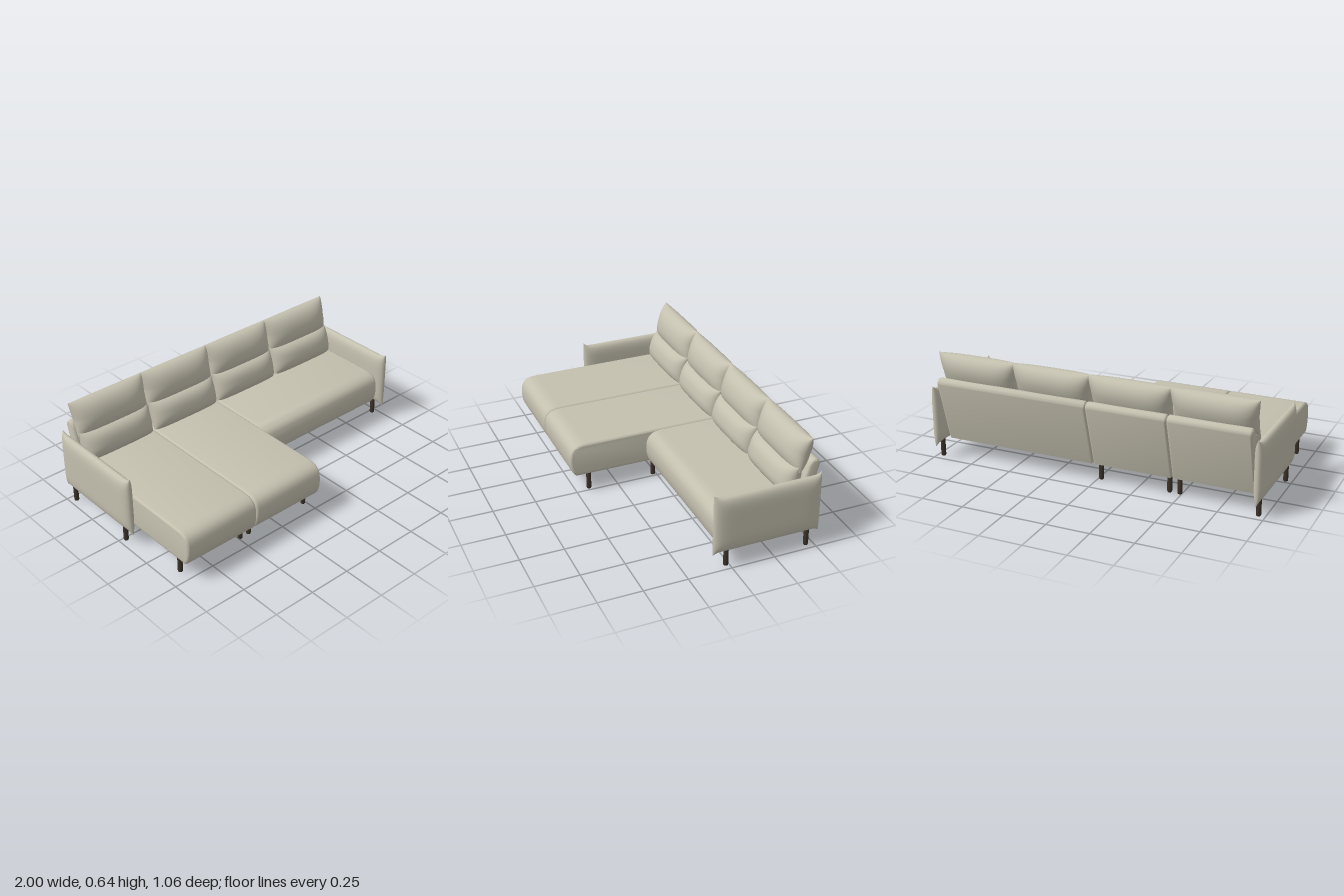
import * as THREE from 'three';
import { mergeVertices, toCreasedNormals } from 'three/addons/utils/BufferGeometryUtils.js';

const fabric = new THREE.MeshStandardMaterial({ color: 0xc4c0af });
fabric.name = 'warm grey fabric';
const wood = new THREE.MeshStandardMaterial({ color: 0x3b3128 });
wood.name = 'dark wood';

// Stuffed pillow in the XY plane: two bulging sheets that meet in a seam.
// pu, pv set how boxy the bulge is; warp(u, v) moves the outline.
function pillow(w, h, t, pu, pv, warp) {
  const n = 32, pos = [], index = [];
  for (const side of [1, -1]) {
    const base = pos.length / 3;
    for (let j = 0; j <= n; j++) {
      for (let i = 0; i <= n; i++) {
        const u = Math.sin((i / n - 0.5) * Math.PI);
        const v = Math.sin((j / n - 0.5) * Math.PI);
        const bulge = Math.sqrt(Math.max(0, (1 - Math.abs(u) ** pu) * (1 - Math.abs(v) ** pv)));
        const [dx, dy] = warp(u, v);
        pos.push(u * w + dx, v * h + dy, side * t * bulge);
      }
    }
    for (let j = 0; j < n; j++) {
      for (let i = 0; i < n; i++) {
        const a = base + j * (n + 1) + i, b = a + 1, c = a + n + 1, d = c + 1;
        if (side > 0) index.push(a, b, d, a, d, c);
        else index.push(a, d, b, a, c, d);
      }
    }
  }
  const g = new THREE.BufferGeometry();
  g.setAttribute('position', new THREE.Float32BufferAttribute(pos, 3));
  g.setIndex(index);
  const merged = mergeVertices(g, 1e-5);
  merged.computeVertexNormals();
  return merged;
}

// Seat and leaning back in one side profile, extruded along x with soft edges.
function moduleGeometry(width, front) {
  const s = new THREE.Shape();
  s.moveTo(-0.43, 0.11);
  s.lineTo(front - 0.04, 0.11);
  s.bezierCurveTo(front - 0.015, 0.115, front, 0.16, front, 0.21);
  s.bezierCurveTo(front, 0.275, front - 0.02, 0.31, front - 0.1, 0.31);
  s.lineTo(-0.42, 0.31);
  s.lineTo(-0.463, 0.465);
  s.bezierCurveTo(-0.472, 0.49, -0.485, 0.503, -0.502, 0.503);
  s.bezierCurveTo(-0.522, 0.503, -0.536, 0.485, -0.531, 0.462);
  s.closePath();
  const b = 0.014;
  const g = new THREE.ExtrudeGeometry(s, {
    depth: width - 2 * b, bevelEnabled: true, bevelSize: b, bevelThickness: b,
    bevelOffset: -b, bevelSegments: 4, curveSegments: 10,
  });
  g.translate(0, 0, b);
  g.rotateY(-Math.PI / 2);
  return toCreasedNormals(g, 0.65);
}

export function createModel() {
  const model = new THREE.Group();
  model.name = 'sectionalSofa';
  const add = (name, geometry, material, x, y, z, parent = model) => {
    const m = new THREE.Mesh(geometry, material);
    m.name = name;
    m.position.set(x, y, z);
    parent.add(m);
    return m;
  };

  // Two long chaise modules and one wide seat module
  const modules = [
    ['outerChaise', -0.935, -0.465, 0.533],
    ['innerChaise', -0.465, 0.005, 0.533],
    ['wideSeat', 0.005, 0.932, 0.075],
  ];
  for (const [name, x0, x1, front] of modules) {
    add(name, moduleGeometry(x1 - x0, front), fabric, x1, 0, 0);
  }

  // Folded back cushions: an upper and a lower lobe, pinched at the ends
  const lean = -0.268;
  [[-0.705, 0.233], [-0.23, 0.231], [0.235, 0.227], [0.7, 0.233]].forEach(([x, w], i) => {
    const cushion = new THREE.Group();
    cushion.name = 'backCushion' + (i + 1);
    model.add(cushion);
    const ears = (u, v) => [
      Math.sign(u) * u * u * 0.014 * Math.max(0, v),
      v > 0 ? 0.004 * v * u ** 8 : 0,
    ];
    const upper = add('upperLobe', pillow(w, 0.104, 0.07, 4, 2.2, ears), fabric, x, 0.539, -0.437, cushion);
    const lower = add('lowerLobe', pillow(w - 0.003, 0.09, 0.074, 4, 2.6, () => [0, 0]),
      fabric, x, 0.386, -0.384, cushion);
    upper.rotation.x = lower.rotation.x = lean;
  });

  // Slim padded armrests with flared corners
  const flare = (u, v) => [0, v * 0.021 * Math.abs(u) ** 22];
  const armGeometry = pillow(0.31, 0.165, 0.033, 10, 6, flare);
  for (const side of [1, -1]) {
    const arm = add(side > 0 ? 'leftArmrest' : 'rightArmrest', armGeometry, fabric, side * 0.967, 0.265, -0.211);
    arm.rotation.y = Math.PI / 2;
  }

  // Round legs with softened feet
  const legGeometry = new THREE.LatheGeometry([
    [0, 0], [0.009, 0.001], [0.0125, 0.004], [0.014, 0.01], [0.014, 0.118], [0, 0.118],
  ].map(([r, y]) => new THREE.Vector2(r, y)), 20);
  const legs = [
    [-0.905, 0.42], [-0.49, 0.42], [-0.43, 0.42], [-0.02, 0.42],
    [-0.49, 0.02], [-0.02, 0.02],
    [-0.49, -0.375], [-0.43, -0.375], [-0.02, -0.375],
    [-0.963, 0.02], [-0.963, -0.455], [0.963, 0.02], [0.963, -0.455],
  ];
  legs.forEach(([x, z], i) => add('leg' + (i + 1), legGeometry, wood, x, 0, z));

  return model;
}
